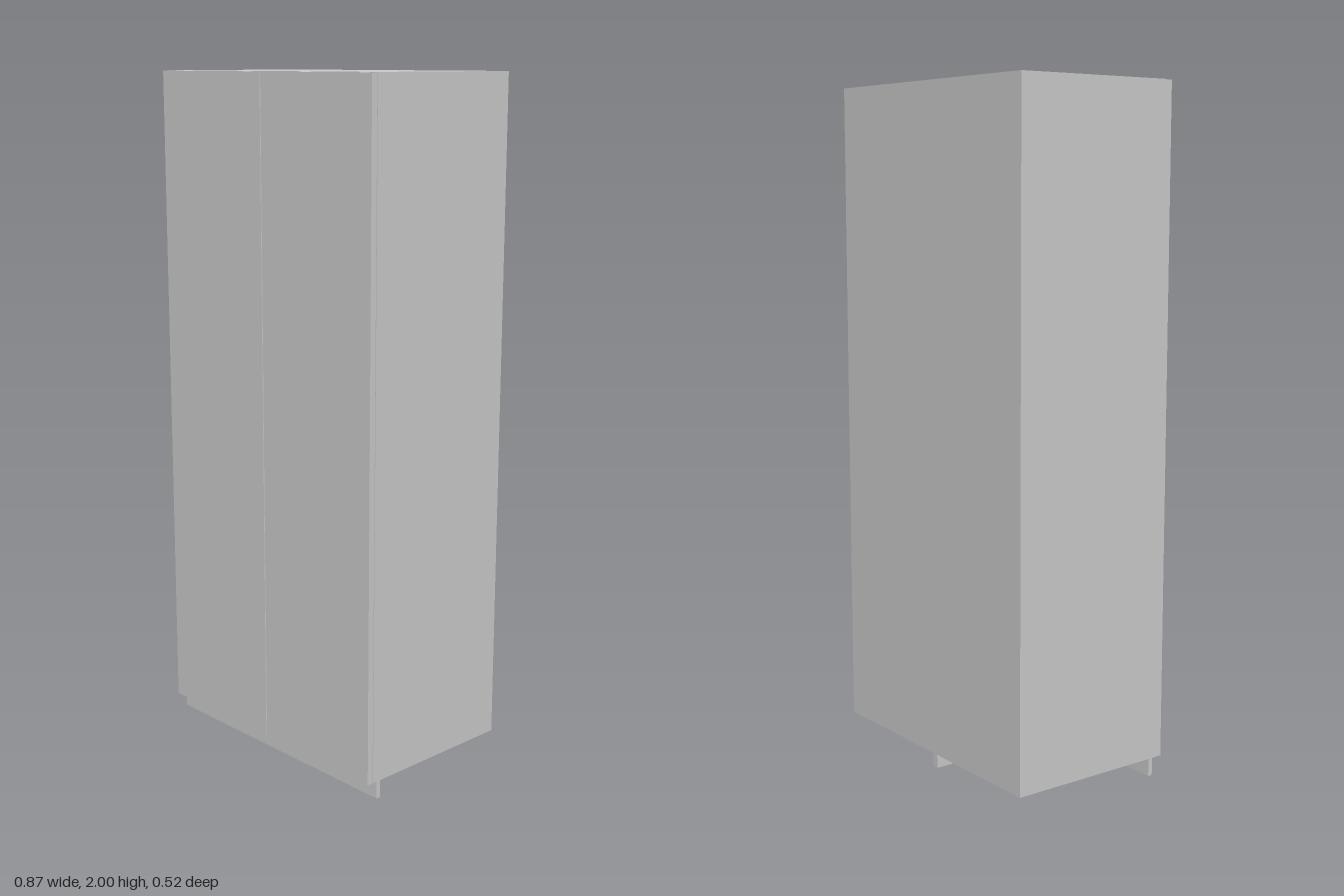
import * as THREE from 'three';

export function createModel() {
  const group = new THREE.Group();
  const material = new THREE.MeshStandardMaterial({ color: 0xcccccc });

  // Box given by its minimum and maximum corners
  function block(name, [x0, y0, z0], [x1, y1, z1]) {
    const mesh = new THREE.Mesh(new THREE.BoxGeometry(x1 - x0, y1 - y0, z1 - z0), material);
    mesh.name = name;
    mesh.position.set((x0 + x1) / 2, (y0 + y1) / 2, (z0 + z1) / 2);
    group.add(mesh);
  }

  const halfWidth = 0.434, floor = 0.052, top = 2;

  // Cabinet body
  block('cabinetBody', [-halfWidth, floor, -0.262], [halfWidth, top, 0.242]);

  // Pair of flush doors with a narrow gap between them
  const gap = 0.0015, doorBack = 0.243, doorFront = 0.262;
  block('leftDoor', [gap, floor, doorBack], [halfWidth - 0.001, top - 0.001, doorFront]);
  block('rightDoor', [-halfWidth + 0.001, floor, doorBack], [-gap, top - 0.001, doorFront]);

  // Recessed plinth board and the central rail running back from it
  block('plinthBoard', [-halfWidth, 0, 0.214], [halfWidth, floor, 0.228]);
  block('centreRail', [-0.01, 0, -0.245], [0.01, floor, 0.214]);

  return group;
}
